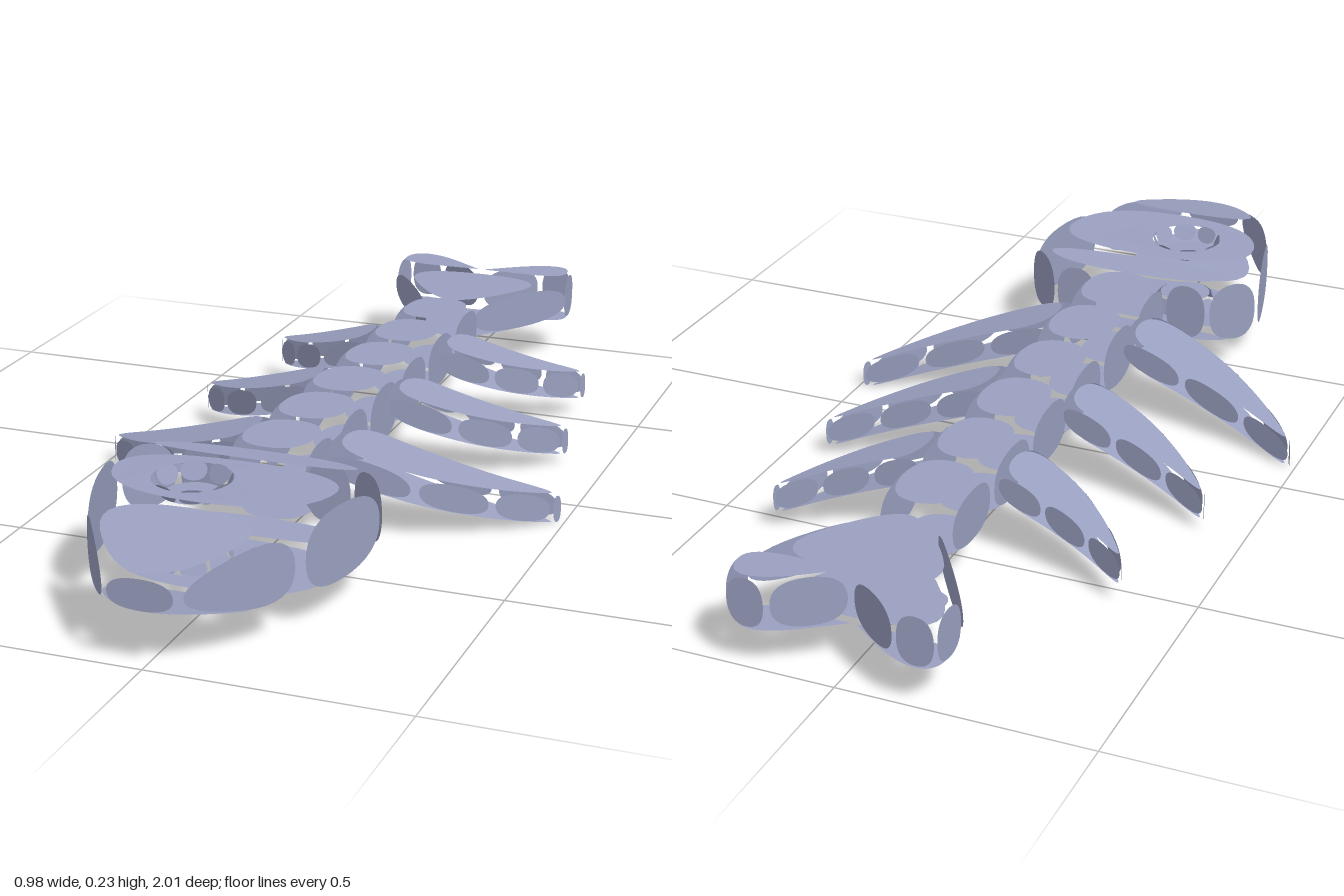
import * as THREE from 'three';
import { mergeGeometries } from 'three/addons/utils/BufferGeometryUtils.js';

const MID = 0.145; // height of the body's centre line
const shell = new THREE.MeshStandardMaterial({ color: 0x9aa0c0, side: THREE.DoubleSide });
shell.name = 'slate blue shell';

const V = (x, y, z) => new THREE.Vector3(x, y, z);

// Closed quadratic spline inside a polygon, touching its shrunken edges at their midpoints
function oval(corners, scale) {
  const c = V(0, 0, 0);
  corners.forEach((p) => c.addScaledVector(p, 1 / corners.length));
  const q = corners.map((p) => p.clone().sub(c).multiplyScalar(scale).add(c));
  const out = [];
  q.forEach((p, i) => {
    const a = q[(i + q.length - 1) % q.length].clone().add(p).multiplyScalar(0.5);
    const b = q[(i + 1) % q.length].clone().add(p).multiplyScalar(0.5);
    const curve = new THREE.QuadraticBezierCurve3(a, p, b);
    for (let k = 0; k < 8; k++) out.push(curve.getPoint(k / 8));
  });
  return out;
}

// Flat oval plate filling a polygon, optionally pierced by a round hole
function plate(corners, { scale = 0.9, mirror = false, hole = [] } = {}) {
  const pts = mirror ? corners.map((p) => V(-p.x, p.y, p.z)).reverse() : corners;
  const rim = oval(pts, scale);
  const n = V(0, 0, 0);
  rim.forEach((p, i) => n.add(p.clone().cross(rim[(i + 1) % rim.length])));
  n.normalize();
  const u = rim[8].clone().sub(rim[0]);
  u.addScaledVector(n, -u.dot(n)).normalize();
  const v = n.clone().cross(u);
  const flat = (p) => new THREE.Vector2(p.dot(u), p.dot(v));
  const faces = THREE.ShapeUtils.triangulateShape(rim.map(flat), hole.length ? [hole.map(flat)] : []);
  const g = new THREE.BufferGeometry().setFromPoints([...rim, ...hole]);
  g.setIndex(faces.flat());
  g.computeVertexNormals();
  return g;
}

// Top, bottom and side plates of an outline of [x, z, top, bottom] points
function prism(outline, { skip = [], caps = true, ...opt } = {}) {
  const top = outline.map(([x, z, t]) => V(x, t, z));
  const low = outline.map(([x, z, , b]) => V(x, b, z));
  const list = caps ? [plate(top, opt), plate([...low].reverse(), opt)] : [];
  outline.forEach((_, i) => {
    const j = (i + 1) % outline.length;
    if (!skip.includes(i)) list.push(plate([low[i], low[j], top[j], top[i]], { mirror: opt.mirror }));
  });
  return list;
}

// Body block between two sections [z, half width, half height]
function block([za, wa, ha], [zb, wb, hb], opt) {
  return prism([
    [wa, za, MID + ha, MID - ha], [wb, zb, MID + hb, MID - hb],
    [-wb, zb, MID + hb, MID - hb], [-wa, za, MID + ha, MID - ha],
  ], opt);
}

function ring(cx, y, cz, r, count) {
  return Array.from({ length: count }, (_, i) => {
    const a = (i / count) * Math.PI * 2;
    return V(cx + r * Math.cos(a), y, cz + r * Math.sin(a));
  });
}

export function createModel() {
  const model = new THREE.Group();
  const add = (name, list) => {
    const mesh = new THREE.Mesh(mergeGeometries(list), shell);
    mesh.name = name;
    model.add(mesh);
  };

  // Head: snout, crown with pierced top and bottom, and neck collar
  const head = [[1, 0.07, 0.033], [0.78, 0.21, 0.085], [0.52, 0.27, 0.078], [0.44, 0.18, 0.068]];
  add('snout', block(head[0], head[1], { skip: [1] }));
  const hx = -0.055, hz = 0.65;
  const crown = block(head[1], head[2], { skip: [1, 3], caps: false });
  const [[za, wa, ha], [zb, wb, hb]] = [head[1], head[2]];
  for (const s of [1, -1]) {
    const quad = [V(wa, MID + s * ha, za), V(wb, MID + s * hb, zb), V(-wb, MID + s * hb, zb), V(-wa, MID + s * ha, za)];
    const y = MID + s * (ha + hb) / 2;
    crown.push(plate(s > 0 ? quad : quad.reverse(), { hole: ring(hx, y, hz, 0.077, 32) }));
  }
  add('crown', crown);
  add('collar', block(head[2], head[3], { skip: [1, 3] }));

  // Back of the head on either side of the spine
  const back = [V(0.18, 0.077, 0.44), V(0.08, 0.077, 0.44), V(0.08, 0.213, 0.44), V(0.18, 0.213, 0.44)];
  add('headBack', [false, true].map((mirror) => plate(back, { mirror })));

  // Eight-sided recesses in the crown, above and below
  for (const s of [1, -1]) {
    const outer = ring(hx, MID + s * 0.087, hz, 0.082, 8);
    const inner = ring(hx, MID + s * 0.05, hz, 0.064, 8);
    const list = outer.map((p, i) => {
      const j = (i + 1) % 8;
      const wall = [p, outer[j], inner[j], inner[i]];
      return plate(s > 0 ? wall.reverse() : wall);
    });
    list.push(plate(s > 0 ? [...inner].reverse() : inner, { scale: 0.95 }));
    add(s > 0 ? 'upperRecess' : 'lowerRecess', list);
  }

  // Spine of six tapering blocks
  const spine = Array.from({ length: 7 }, (_, i) => [0.445 - i * 0.1855, 0.08 - i * 0.001, 0.073 - i * 0.0028]);
  for (let i = 0; i < 6; i++) add('spineBlock' + (i + 1), block(spine[i], spine[i + 1], { skip: [1, 3] }));

  // Swept ribs: [root z, length, depth factor]; outline of [part of length, z offset]
  const ribs = [[0.25, 0.41, 1], [-0.09, 0.335, 0.86], [-0.41, 0.285, 0.84]];
  const shape = [[0, 0.083], [0.42, 0.04], [0.74, -0.045], [0.975, -0.14],
    [1, -0.165], [0.7, -0.118], [0.35, -0.087], [0, -0.075]];
  ribs.forEach(([z, len, depth], i) => {
    const outline = shape.map(([u, dz]) => {
      const y = 0.162 - 0.32 * u * len;
      return [0.08 + u * len, z + dz * depth, y + 0.031, y - 0.031];
    });
    for (const mirror of [false, true]) {
      add((mirror ? 'rightRib' : 'leftRib') + (i + 1), prism(outline, { mirror, scale: 0.94 }));
    }
  });

  // Tail wedge and its two fins
  add('tail', block([-0.675, 0.05, 0.045], [-0.928, 0.222, 0.045], { skip: [1, 3] }));
  const fin = [[0, -0.918], [0, -0.918], [0.21, -0.912], [0.205, -1.008], [0.125, -1.008]]
    .map(([x, z]) => [x, z, MID + 0.055, MID - 0.055]);
  for (const mirror of [false, true]) {
    add(mirror ? 'rightTailFin' : 'leftTailFin', prism(fin, { mirror, skip: [0, 1], scale: 0.95 }));
  }
  return model;
}
